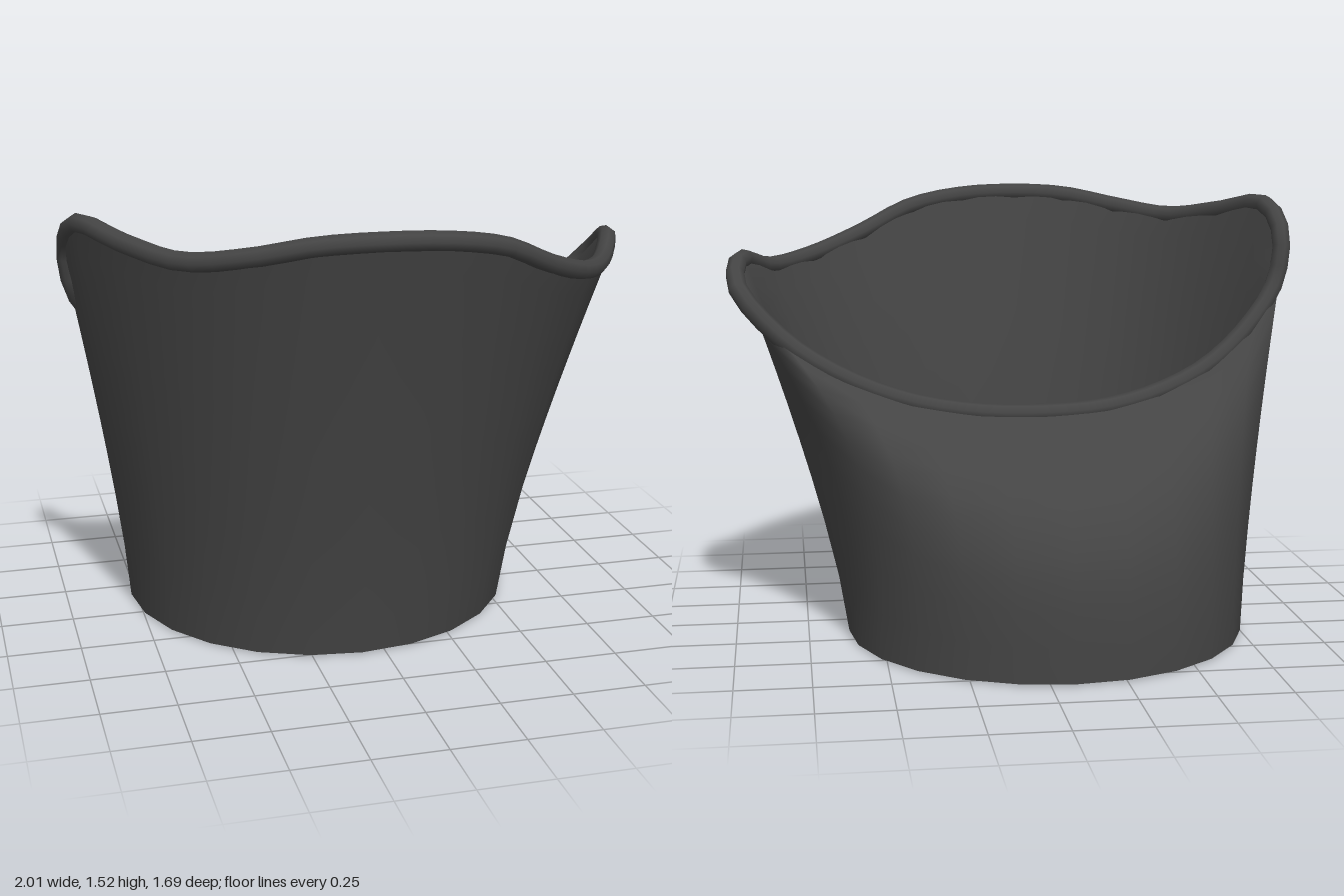
import * as THREE from 'three';

// Rim points [x, y, z], every 15 degrees from the front (+z) towards the left (+x)
const RIM = [
  [-0.10, 1.52, 0.84], [0.12, 1.51, 0.83], [0.33, 1.47, 0.77], [0.53, 1.38, 0.66],
  [0.73, 1.31, 0.48], [0.89, 1.29, 0.24], [0.99, 1.33, 0.03], [0.99, 1.24, -0.15],
  [0.82, 1.07, -0.24], [0.62, 0.95, -0.29], [0.40, 0.87, -0.32], [0.16, 0.83, -0.33],
  [-0.08, 0.82, -0.31], [-0.28, 0.83, -0.28], [-0.48, 0.87, -0.22], [-0.67, 0.95, -0.16],
  [-0.84, 1.08, -0.08], [-0.96, 1.23, -0.01], [-1.00, 1.40, 0.05], [-0.97, 1.50, 0.20],
  [-0.85, 1.47, 0.40], [-0.69, 1.44, 0.59], [-0.50, 1.47, 0.73], [-0.30, 1.51, 0.81],
].map(p => new THREE.Vector3(...p));
const N = RIM.length;
const LEVELS = [0, 0.15, 0.3, 0.42, 0.52, 0.62, 0.7, 0.78, 0.86, 0.93, 1];

// Rim moved inwards (horizontally) and down
function insetRim(inset, drop) {
  return RIM.map((p, i) => {
    const t = RIM[(i + 1) % N].clone().sub(RIM[(i + N - 1) % N]).setY(0).normalize();
    return new THREE.Vector3(p.x + t.z * inset, p.y - drop, p.z - t.x * inset);
  });
}

// Circle around the off-centre foot
function footRing(radius, y) {
  return RIM.map((_, i) => {
    const a = (i / N) * Math.PI * 2;
    return new THREE.Vector3(-0.08 + Math.sin(a) * radius, y, -0.155 + Math.cos(a) * radius);
  });
}

// Wall rings from foot to rim; the back stays upright, then curls over
function wallRings(foot, rim) {
  return LEVELS.map(t => foot.map((p, i) => {
    const u = THREE.MathUtils.clamp((0.1 - RIM[i].z) / 0.4, 0, 1);
    const f = Math.pow(t, 1.2 + 2.8 * u * u);
    const q = rim[i];
    return new THREE.Vector3(p.x + (q.x - p.x) * f, p.y + (q.y - p.y) * t, p.z + (q.z - p.z) * f);
  }));
}

// Closed loops joined into one smooth surface
function loft(rings) {
  const positions = [], index = [];
  rings.forEach(r => r.forEach(p => positions.push(p.x, p.y, p.z)));
  for (let k = 0; k < rings.length - 1; k++) {
    for (let i = 0; i < N; i++) {
      const j = (i + 1) % N, a = k * N, b = a + N;
      index.push(a + i, a + j, b + j, a + i, b + j, b + i);
    }
  }
  const g = new THREE.BufferGeometry();
  g.setAttribute('position', new THREE.Float32BufferAttribute(positions, 3));
  g.setIndex(index);
  g.computeVertexNormals();
  return g;
}

export function createModel() {
  const group = new THREE.Group();
  const material = new THREE.MeshStandardMaterial({ color: 0x444444 });
  const add = (name, geometry) => {
    const mesh = new THREE.Mesh(geometry, material);
    mesh.name = name;
    group.add(mesh);
  };

  // Shell
  add('outerWall', loft(wallRings(footRing(0.69, 0.01), insetRim(0.012, 0.035))));
  add('innerWall', loft(wallRings(footRing(0.645, 0.06), insetRim(0.05, 0.035)).reverse()));

  // Rounded lip
  const path = new THREE.CatmullRomCurve3(insetRim(0.03, 0.032), true);
  add('rimLip', new THREE.TubeGeometry(path, 72, 0.033, 8, true));

  // Floor and recessed underside
  add('floor', loft([footRing(0.645, 0.06), footRing(0, 0.06)]));
  add('footRing', loft([footRing(0.645, 0.005), footRing(0.69, 0.01)]));
  add('footRecess', loft([footRing(0.645, 0.03), footRing(0.645, 0.005)]));
  add('underside', loft([footRing(0, 0.03), footRing(0.645, 0.03)]));
  return group;
}
